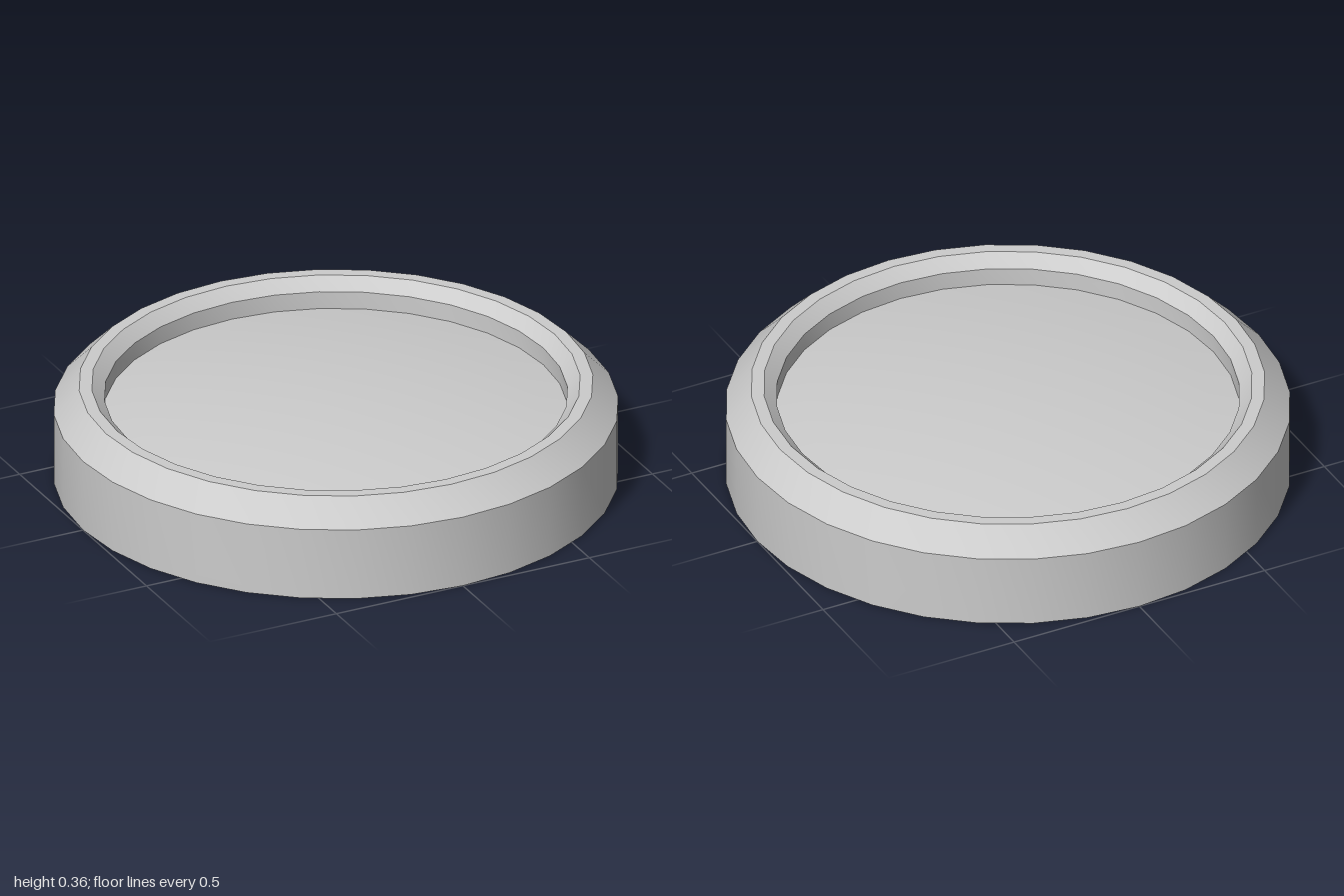
import * as THREE from 'three';
import { toCreasedNormals } from 'three/addons/utils/BufferGeometryUtils.js';

const SIDES = 32;

export function createModel() {
  const group = new THREE.Group();
  const material = new THREE.MeshStandardMaterial({ color: 0xcccccc, side: THREE.DoubleSide });

  const addLathe = (name, profile) => {
    const points = profile.map(([r, y]) => new THREE.Vector2(r, y));
    const mesh = new THREE.Mesh(toCreasedNormals(new THREE.LatheGeometry(points, SIDES), 0.5), material);
    mesh.name = name;
    group.add(mesh);
  };

  // Thin shell: outer wall, bevel, flat lip, inner chamfer and recess wall
  addLathe('rim', [[1, 0], [1, 0.27], [0.91, 0.36], [0.865, 0.36], [0.82, 0.316], [0.82, 0.25]]);

  // Plug filling the recess: flat underside, straight side, gently domed top
  const radius = 0.82, bottom = 0.132, edge = 0.25, rise = 0.065, steps = 8;
  const plug = [[0, bottom], [radius, bottom]];
  for (let i = 0; i <= steps; i++) {
    const t = 1 - i / steps;
    plug.push([radius * t, edge + rise * (1 - t * t)]);
  }
  addLathe('domedPlug', plug);

  // Small open collar under the plug
  addLathe('collar', [[0.082, bottom - 0.016], [0.082, bottom]]);

  return group;
}
